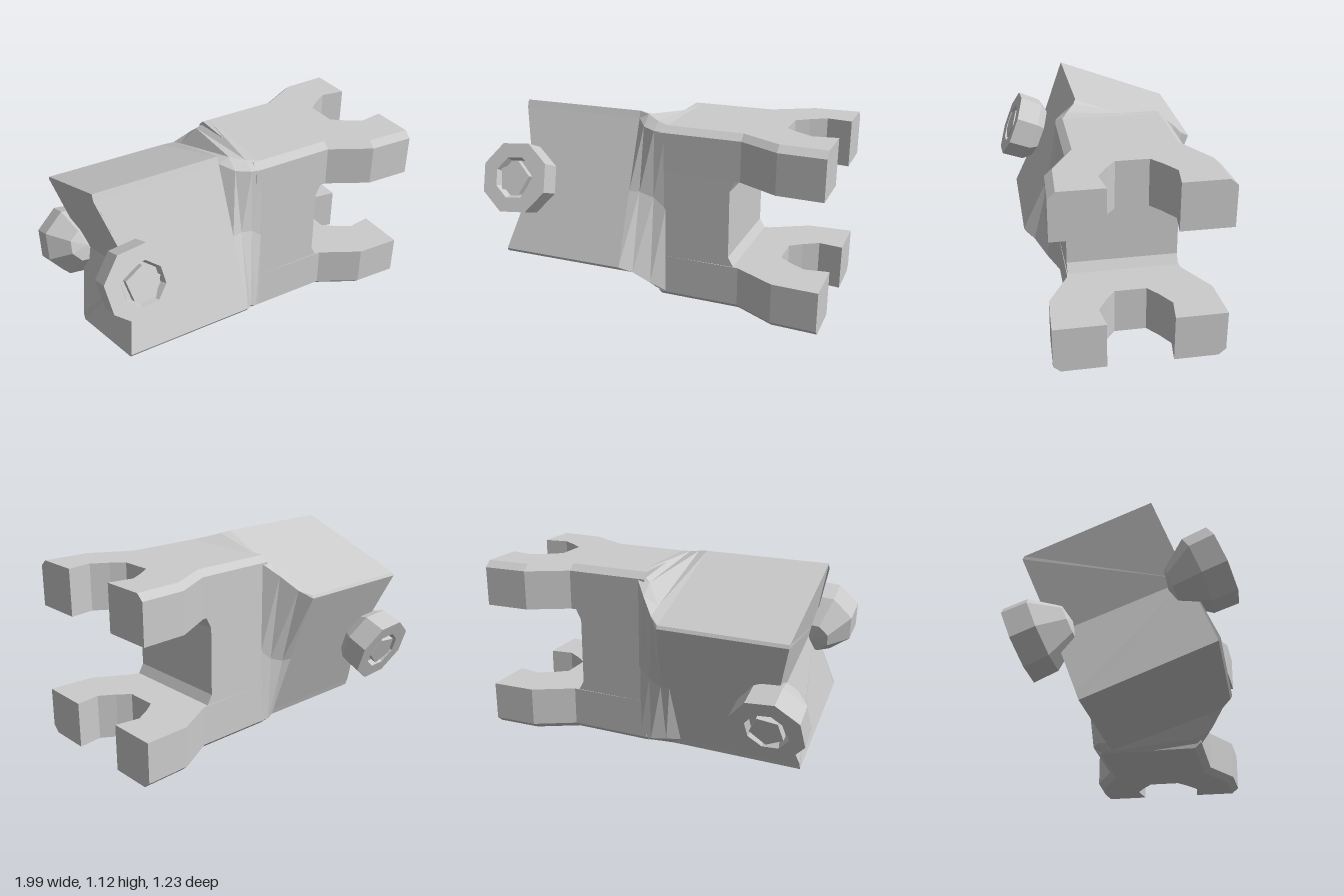
import * as THREE from 'three';

const MID = 0.56; // height of the long axis; the part is 180-degree symmetric about it
const mat = new THREE.MeshStandardMaterial({ color: 0xcccccc, flatShading: true });

function add(parent, name, geo) {
  const g = geo.index ? geo.toNonIndexed() : geo;
  g.computeVertexNormals();
  const m = new THREE.Mesh(g, mat);
  m.name = name;
  parent.add(m);
}

// Loft through sections; each is x plus half a ring of (z, y) points, completed by
// a half turn. The first point sits mid-wall and may be inset along x to notch the end.
function loft(sections) {
  const rings = sections.map(([x, pts, inset = 0]) => {
    const half = pts.map(([z, y], i) => [i === 0 ? x + inset : x, y - MID, z]);
    return half.concat(half.map(([a, b, c]) => [a, -b, -c]));
  });
  const n = rings[0].length, pos = [];
  const tri = (...v) => v.forEach((p) => pos.push(...p));
  for (let i = 0; i < rings.length - 1; i++) {
    for (let j = 0; j < n; j++) {
      const k = (j + 1) % n, r = rings[i], s = rings[i + 1];
      tri(r[j], r[k], s[j]);
      tri(r[k], s[k], s[j]);
    }
  }
  const first = rings[0], last = rings[rings.length - 1];
  for (let j = 1; j < n - 1; j++) {
    tri(first[0], first[j + 1], first[j]);
    tri(last[0], last[j], last[j + 1]);
  }
  const g = new THREE.BufferGeometry();
  g.setAttribute('position', new THREE.Float32BufferAttribute(pos, 3));
  return g;
}

// Half ring: mid-wall point, lower front corner pair, then the top corner pair turned to the bottom
const section = (mid, low, low2, top, top2) =>
  [mid, low, low2, ...[top, top2].map(([z, y]) => [-z, 2 * MID - y])];

const shapeOf = (pts) => new THREE.Shape(pts.map(([x, y]) => new THREE.Vector2(x, y)));

// Flat jaw with an open notch and bevelled outer edges
function jawGeometry() {
  const side = [[0.03, 0.32], [0.51, 0.325], [0.74, 0.452], [1, 0.465], [1, 0.18], [0.86, 0.2], [0.77, 0.145], [0.7, 0.09]];
  const outline = side.concat(side.map(([x, z]) => [x, -z]).reverse());
  const depth = 0.265, bevel = 0.04;
  const g = new THREE.ExtrudeGeometry(shapeOf(outline), { depth, steps: 2, bevelEnabled: false });
  const p = g.attributes.position;
  for (let i = 0; i < p.count; i++) {
    const y = p.getY(i), z = p.getZ(i);
    if (z > depth * 0.9 && Math.abs(y) > 0.25) p.setY(i, y - Math.sign(y) * bevel);
    else if (z > depth * 0.4 && z < depth * 0.6) p.setZ(i, depth - 0.035);
  }
  g.rotateX(-Math.PI / 2);
  g.translate(0, 0.255, 0);
  return g;
}

export function createModel() {
  const root = new THREE.Group();
  root.name = 'forkedJoint';
  const model = new THREE.Group();
  model.name = 'joint';
  model.position.y = MID;
  root.add(model);

  // Tilted block, notched at its end, that twists into the upright neck
  const tilted = section([0.355, 0.69], [0.52, 0.28], [0.51, 0.262], [0.18, 1.12], [0.195, 1.08]);
  add(model, 'body', loft([
    [-0.88, tilted, 0.11],
    [-0.14, tilted],
    [-0.08, section([0.345, 0.69], [0.46, 0.235], [0.37, 0.2], [0.2, 1.11], [0.27, 1.055])],
    [0, section([0.328, 0.66], [0.39, 0.15], [0.31, 0.09], [0.25, 1.09], [0.315, 1.049])],
    [0.07, section([0.319, 0.6], [0.319, 0.08], [0.28, 0.04], [0.28, 1.08], [0.319, 1.047])],
  ]));

  // Web joining the two jaws
  const web = new THREE.ExtrudeGeometry(
    shapeOf([[0.03, -0.27], [0.49, -0.27], [0.45, -0.2], [0.45, 0.19], [0.49, 0.27], [0.03, 0.27]]),
    { depth: 0.64, bevelEnabled: false });
  web.translate(0, 0, -0.32);
  add(model, 'web', web);

  // Jaws and pivot bosses repeat with a half turn about the long axis
  for (const turn of [0, Math.PI]) {
    const half = new THREE.Group();
    half.name = turn ? 'lowerHalf' : 'upperHalf';
    half.rotation.x = turn;
    model.add(half);
    add(half, 'jaw', jawGeometry());

    const boss = new THREE.Group();
    boss.name = 'pivotBoss';
    boss.position.set(-0.785, 0.187, 0.54);
    boss.rotation.x = 1.19;
    half.add(boss);
    const profile = [[0, -0.31], [0.1, -0.29], [0.21, -0.14], [0.215, 0], [0.125, 0], [0.11, -0.04], [0, -0.04]];
    add(boss, 'collar', new THREE.LatheGeometry(
      profile.map(([r, y]) => new THREE.Vector2(r, y)), 8, Math.PI / 8 + 0.1));
    const pin = new THREE.CylinderGeometry(0.1, 0.1, 0.06, 5);
    pin.rotateY(0.5);
    pin.translate(0, -0.03, 0);
    add(boss, 'pin', pin);
  }
  return root;
}
